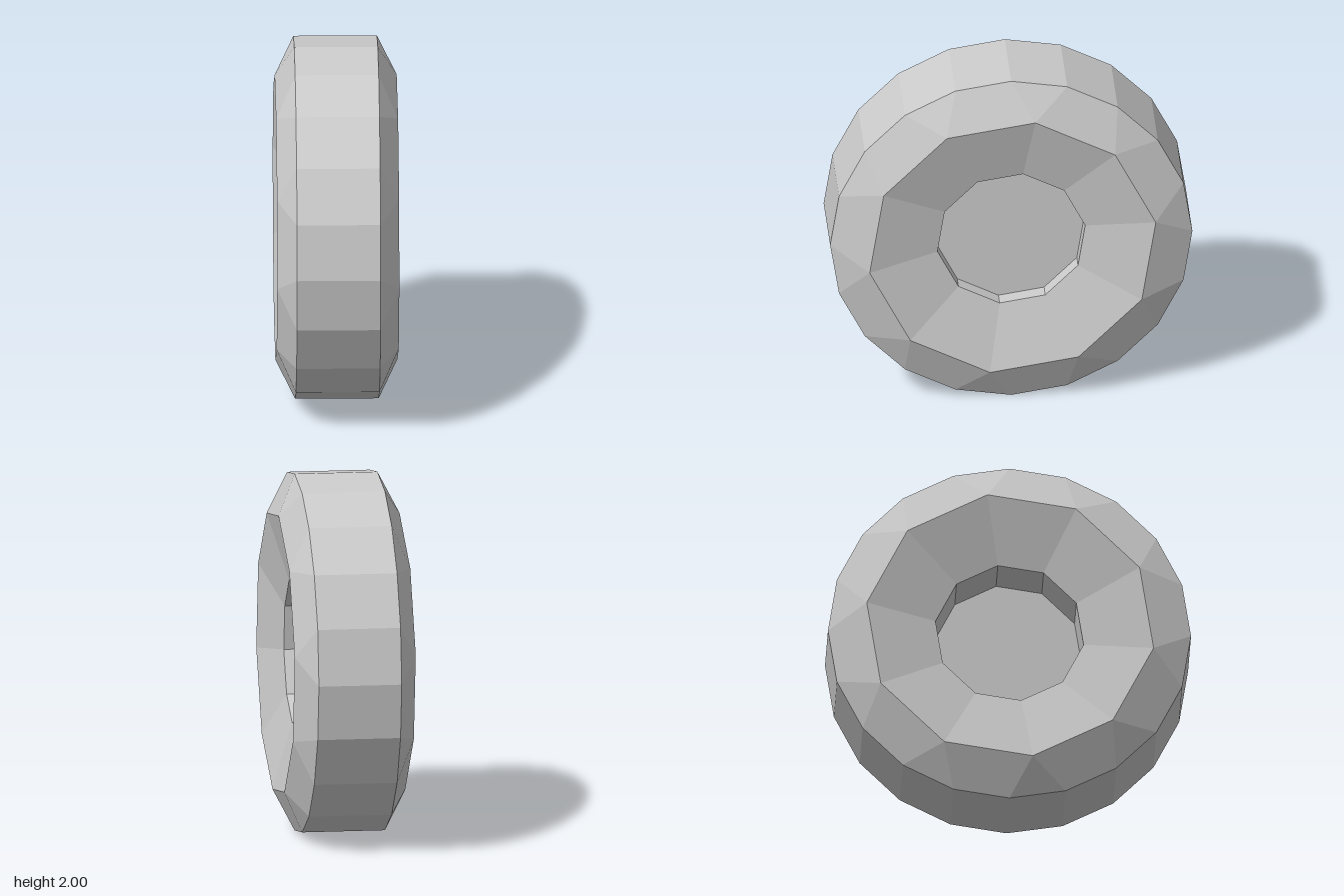
import * as THREE from 'three';

const RIM = 1, HALF_TREAD = 0.23;      // 20-sided outer rim
const LIP = 0.8, HALF_WIDTH = 0.336;   // 10-sided lip of the dished side
const HUB = 0.413, HUB_EDGE = 0.235;   // 10-sided hub hole

const material = new THREE.MeshStandardMaterial({ color: 0xcccccc, flatShading: true });

// Point on a ring around the x axle, angle in degrees from +z towards +y
function point(radius, x, degrees) {
  const a = THREE.MathUtils.degToRad(degrees);
  return [x, 1 + radius * Math.sin(a), radius * Math.cos(a)];
}

// Mesh from triangles and quads; mirrored parts reverse the corner order
function facesToMesh(name, faces, flip = false) {
  const positions = [];
  for (const face of faces) {
    const f = flip ? [...face].reverse() : face;
    for (let i = 1; i < f.length - 1; i++) positions.push(...f[0], ...f[i], ...f[i + 1]);
  }
  const geometry = new THREE.BufferGeometry();
  geometry.setAttribute('position', new THREE.Float32BufferAttribute(positions, 3));
  geometry.computeVertexNormals();
  const mesh = new THREE.Mesh(geometry, material);
  mesh.name = name;
  return mesh;
}

// Band of quads joining consecutive [radius, x] rings
function bands(profile, sides, start) {
  const faces = [];
  const step = 360 / sides;
  for (let j = 0; j < profile.length - 1; j++) {
    const [r0, x0] = profile[j], [r1, x1] = profile[j + 1];
    for (let i = 0; i < sides; i++) {
      const a = start + i * step, b = a + step;
      faces.push([point(r0, x0, b), point(r0, x0, a), point(r1, x1, a), point(r1, x1, b)]);
    }
  }
  return faces;
}

// Sloped shoulder stepping from the 20-sided rim to the 10-sided lip
function shoulderFaces(s) {
  const faces = [];
  const rim = (a) => point(RIM, s * HALF_TREAD, a);
  const lip = (a) => point(LIP, s * HALF_WIDTH, a);
  for (let i = 0; i < 10; i++) {
    const a = 27 + i * 36;
    faces.push([rim(a + 9), rim(a - 9), lip(a)]);
    faces.push([rim(a + 27), rim(a + 9), lip(a), lip(a + 36)]);
  }
  return faces;
}

// One side of the wheel: shoulder, dished face, hub wall and hub floor
function createSide(name, s, floorX) {
  const side = new THREE.Group();
  side.name = name;
  const flip = s < 0;
  const floor = [];
  for (let i = 9; i >= 0; i--) floor.push(point(HUB, floorX, 27 + i * 36));
  side.add(
    facesToMesh('shoulder', shoulderFaces(s), flip),
    facesToMesh('dish', bands([[LIP, s * HALF_WIDTH], [HUB, s * HUB_EDGE]], 10, 27), flip),
    facesToMesh('hubWall', bands([[HUB, s * HUB_EDGE], [HUB, floorX]], 10, 27), flip),
    facesToMesh('hubFloor', [floor], flip)
  );
  return side;
}

export function createModel() {
  const wheel = new THREE.Group();
  wheel.name = 'wheel';
  wheel.add(
    facesToMesh('tread', bands([[RIM, -HALF_TREAD], [RIM, HALF_TREAD]], 20, 0)),
    createSide('leftSide', 1, 0.15),    // shallow hub recess
    createSide('rightSide', -1, 0.035)  // deep hub recess
  );
  return wheel;
}
